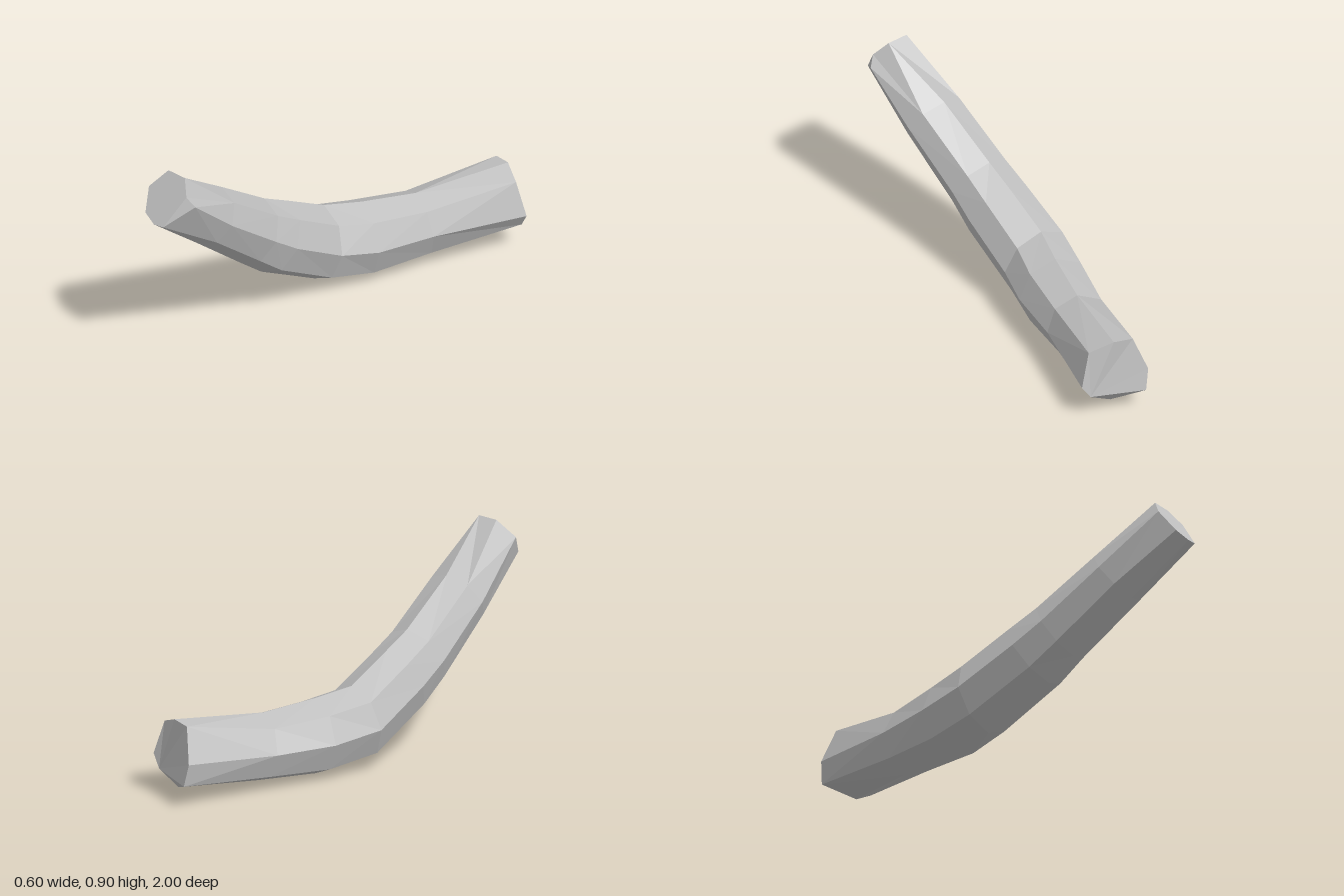
import * as THREE from 'three';

const SIDES = 8;
const v = (a) => new THREE.Vector3(...a);

// Octagonal cross-section from a centre, a half-width vector and a half-height vector
function ring(centre, side, up) {
  return Array.from({ length: SIDES }, (_, k) => {
    const t = (k / SIDES) * Math.PI * 2;
    return v(centre).addScaledVector(v(side), Math.cos(t)).addScaledVector(v(up), Math.sin(t));
  });
}

function meshFrom(name, points, material) {
  const geometry = new THREE.BufferGeometry().setFromPoints(points);
  geometry.computeVertexNormals();
  const mesh = new THREE.Mesh(geometry, material);
  mesh.name = name;
  return mesh;
}

// Skin between successive rings, front to back
function skin(rings) {
  const out = [];
  for (let i = 0; i < rings.length - 1; i++) {
    for (let k = 0; k < SIDES; k++) {
      const n = (k + 1) % SIDES;
      const [a, b, c, d] = [rings[i][k], rings[i][n], rings[i + 1][k], rings[i + 1][n]];
      if (k % 2) out.push(a, c, b, b, c, d);
      else out.push(a, c, d, a, d, b);
    }
  }
  return out;
}

// Flat end face; the fan's last triangle is the chamfer at the set-back corner
function cap(points, corner, flip) {
  const p = (j) => points[(corner + 1 + j) % SIDES];
  const out = [];
  for (let j = 1; j < SIDES - 1; j++) {
    out.push(p(0), ...(flip ? [p(j + 1), p(j)] : [p(j), p(j + 1)]));
  }
  return out;
}

export function createModel() {
  const group = new THREE.Group();
  group.name = 'bentBranch';
  const grey = new THREE.MeshStandardMaterial({ color: 0xbfbfbf });
  grey.name = 'grey';
  grey.flatShading = true;

  // Irregular cut ends, anticlockwise from +x as seen from the front
  const frontEnd = [
    [0.035, 0.795, 0.88], [0.003, 0.84, 0.903], [-0.05, 0.9, 0.86], [-0.15, 0.9, 0.86],
    [-0.212, 0.82, 0.918], [-0.17, 0.73, 0.982], [-0.1, 0.705, 1], [-0.045, 0.71, 0.997],
  ].map(v);
  const backEnd = [
    [0.3, 0.17, -0.89], [0.25, 0.325, -0.875], [0.15, 0.365, -0.925], [0.06, 0.355, -0.945],
    [0.01, 0.2, -0.99], [0.03, 0.1, -1], [0.15, 0.05, -0.9], [0.26, 0.11, -0.9],
  ].map(v);

  // Sections through the bend: centre, half-width, half-height
  const bend = [
    [[-0.12, 0.605, 0.64], [0.143, 0, 0], [0, 0.11, -0.075]],
    [[-0.14, 0.41, 0.355], [0.148, 0, 0], [0, 0.13, -0.075]],
    [[-0.14, 0.33, 0.22], [0.155, 0, 0.01], [0, 0.145, -0.08]],
    [[-0.135, 0.2, -0.05], [0.163, 0, 0.02], [0, 0.17, -0.03]],
    [[-0.075, 0.172, -0.25], [0.16, 0, 0.05], [0, 0.172, 0]],
    [[0.007, 0.172, -0.52], [0.143, 0, 0.05], [0, 0.15, 0.02]],
  ].map((s) => ring(...s));

  group.add(
    meshFrom('branchBody', skin([frontEnd, ...bend, backEnd]), grey),
    meshFrom('frontCut', cap(frontEnd, 0, false), grey),
    meshFrom('backCut', cap(backEnd, 6, true), grey),
  );
  return group;
}
